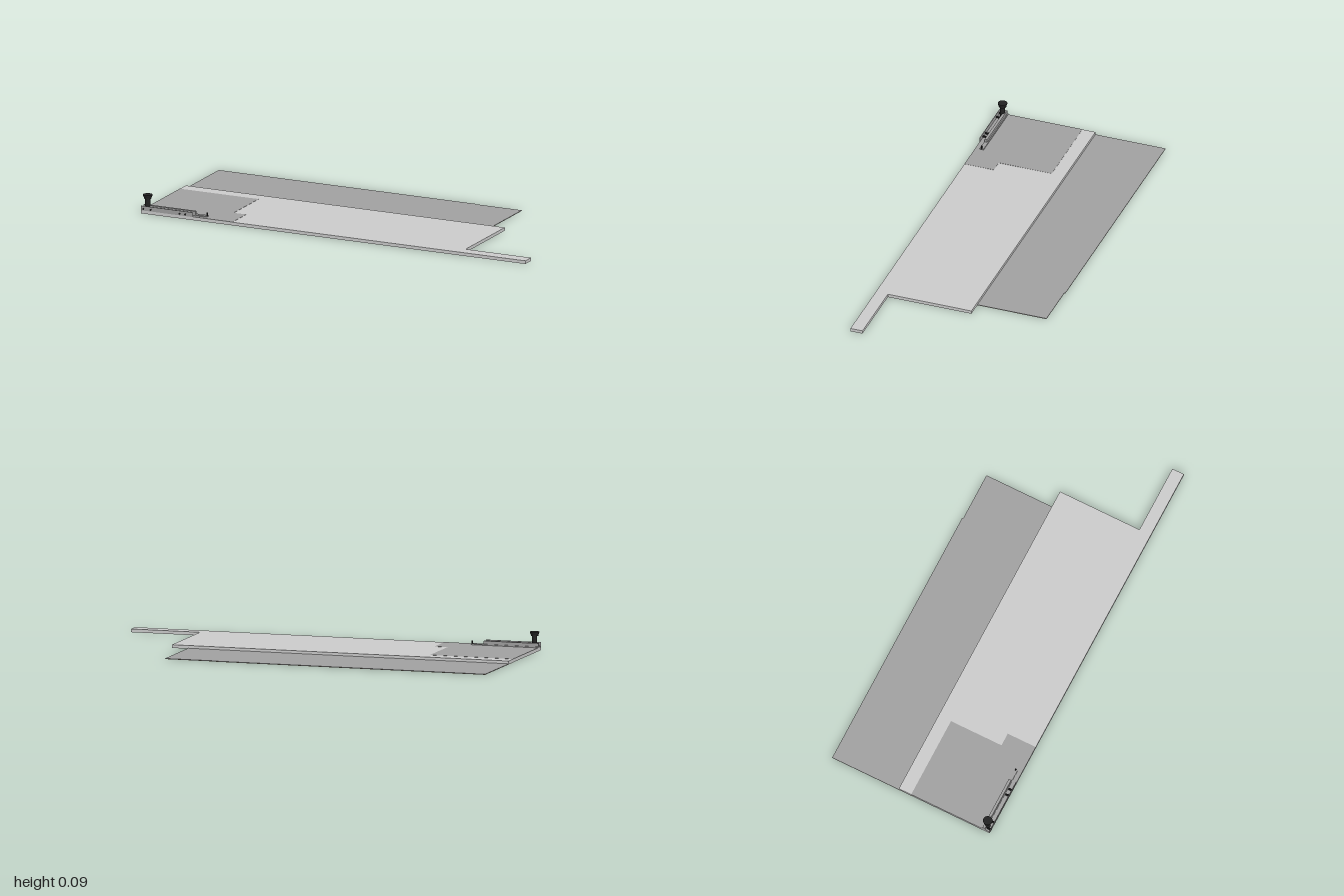
import * as THREE from 'three';

const mat = (color) => new THREE.MeshStandardMaterial({ color, flatShading: true });

export function createModel() {
  const model = new THREE.Group();
  const pale = mat(0xcccccc), grey = mat(0xa0a0a0), black = mat(0x222222), brown = mat(0xbba880);

  const add = (name, geometry, material) => {
    const mesh = new THREE.Mesh(geometry, material);
    mesh.name = name;
    model.add(mesh);
    return mesh;
  };
  // Horizontal plate from an outline of [x, z] corners, between two heights
  const plate = (name, corners, y0, y1, material) => {
    const shape = new THREE.Shape(corners.map(([x, z]) => new THREE.Vector2(x, -z)));
    const g = new THREE.ExtrudeGeometry(shape, { depth: y1 - y0, bevelEnabled: false });
    g.rotateX(-Math.PI / 2).translate(0, y0, 0);
    return add(name, g, material);
  };
  const block = (name, x0, x1, y0, y1, z0, z1, material) => {
    const g = new THREE.BoxGeometry(x1 - x0, y1 - y0, z1 - z0);
    g.translate((x0 + x1) / 2, (y0 + y1) / 2, (z0 + z1) / 2);
    return add(name, g, material);
  };

  // Main slab with the narrow strip running out at the front
  plate('slab', [[-1, -0.065], [0.66, -0.065], [0.66, 0.352], [1, 0.352], [1, 0.412], [-1, 0.412]],
    0.0006, 0.016, pale);

  // Thin rear sheet, with its underside tab and patch reaching below the slab
  plate('rearSheet', [[-1, -0.415], [0.34, -0.415], [0.34, -0.41], [0.58, -0.41], [0.58, -0.065], [-1, -0.065]],
    0.0006, 0.003, grey);
  plate('sheetUnderside', [[-1, -0.415], [0.34, -0.415], [0.34, -0.41], [0.58, -0.41], [0.58, -0.065],
    [0.13, -0.065], [0.13, 0.345], [-0.14, 0.345], [-0.14, -0.065], [-1, -0.065]],
    0, 0.0006, brown);
  plate('undersidePatch', [[-1, -0.065], [-0.66, -0.065], [-0.5, 0.1], [-0.72, 0.12], [-1, 0.02]],
    0, 0.0006, brown);

  // Darker stepped area on top of the slab
  plate('topPatch', [[-1, 0], [-0.59, 0], [-0.59, 0.265], [-0.525, 0.265], [-0.525, 0.412], [-1, 0.412]],
    0.016, 0.0168, grey);

  // Low rail along the front edge
  block('railBase', -1, -0.67, 0.016, 0.022, 0.37, 0.39, grey);
  block('railUpright', -1, -0.73, 0.022, 0.037, 0.375, 0.388, grey);
  block('railFace', -1, -0.73, 0.016, 0.038, 0.411, 0.4135, grey);
  block('railPin', -0.674, -0.669, 0.016, 0.036, 0.378, 0.383, black);
  for (const x of [-0.988, -0.95, -0.8, -0.77]) {
    const bolt = new THREE.CylinderGeometry(0.005, 0.005, 0.021, 8);
    bolt.rotateX(Math.PI / 2).translate(x, 0.024, 0.4045);
    add('railBolt', bolt, black);
  }

  // Round post with a flared head
  const profile = [[0, 0.016], [0.012, 0.016], [0.012, 0.071], [0.018, 0.071], [0.018, 0.076],
    [0.0225, 0.087], [0.0225, 0.09], [0, 0.09]].map(([r, y]) => new THREE.Vector2(r, y));
  add('post', new THREE.LatheGeometry(profile, 20), black).position.set(-0.9765, 0, 0.39);

  return model;
}
